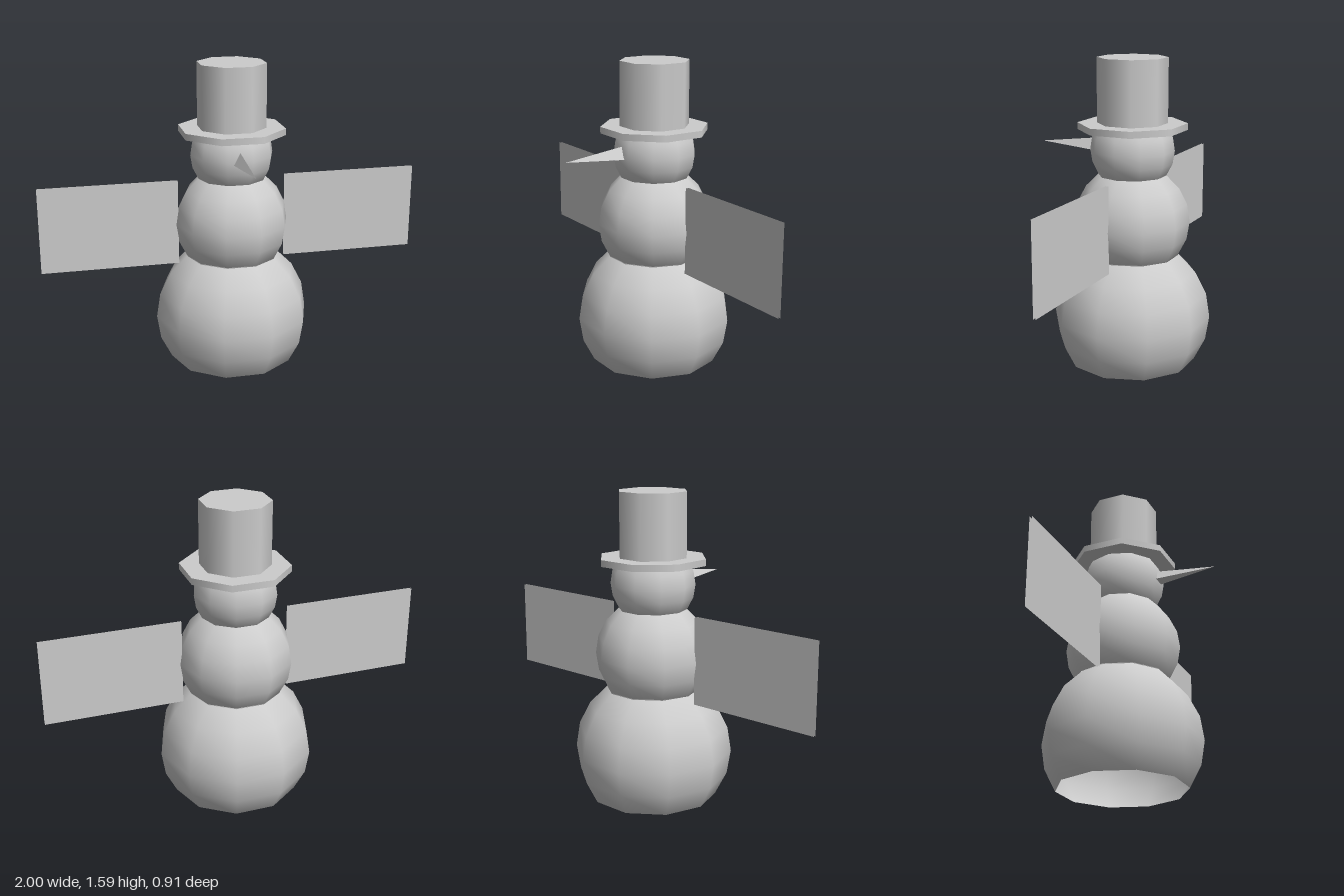
import * as THREE from 'three';

const BODY_Z = -0.067;

export function createModel() {
  const group = new THREE.Group();
  const smooth = new THREE.MeshStandardMaterial({ color: 0xcccccc, side: THREE.DoubleSide });
  const faceted = new THREE.MeshStandardMaterial({ color: 0xcccccc, flatShading: true });

  const add = (name, geometry, material, x, y, z, parent = group) => {
    const mesh = new THREE.Mesh(geometry, material);
    mesh.name = name;
    mesh.position.set(x, y, z);
    parent.add(mesh);
    return mesh;
  };

  // Stacked snowballs: ten-sided spheres cut open at the joints (54 degrees up, 36 degrees down)
  const ball = (name, radius, y) => add(
    name,
    new THREE.SphereGeometry(radius, 10, 5, 0, Math.PI * 2, Math.PI / 5, Math.PI / 2),
    smooth, 0, y, BODY_Z
  );
  ball('lowerBall', 0.41, 0.241);
  ball('middleBall', 0.298, 0.752);
  ball('head', 0.217, 1.121);

  // Octagonal top hat with flat sides facing front and sides
  const hat = new THREE.Group();
  hat.name = 'hat';
  group.add(hat);
  const drum = (name, radius, bottom, top) => add(
    name,
    new THREE.CylinderGeometry(radius, radius, top - bottom, 8, 1, false, Math.PI / 8),
    smooth, 0, (bottom + top) / 2, BODY_Z, hat
  );
  drum('hatBrim', 0.28, 1.226, 1.26);
  drum('hatCrown', 0.18, 1.26, 1.59);

  // Three-sided carrot nose pointing forward
  const nose = new THREE.ConeGeometry(0.041, 0.325, 3, 1, false, Math.PI);
  nose.rotateX(Math.PI / 2);
  add('nose', nose, faceted, 0, 1.129, 0.2925);

  // Arms: each a pair of thin parallel panels
  for (const side of [1, -1]) {
    const arm = new THREE.Group();
    arm.name = side > 0 ? 'leftArm' : 'rightArm';
    group.add(arm);
    for (const face of [1, -1]) {
      add(face > 0 ? 'armFrontPanel' : 'armBackPanel', new THREE.PlaneGeometry(0.715, 0.45),
        smooth, side * 0.6425, 0.765, BODY_Z + face * 0.006, arm);
    }
  }

  return group;
}
